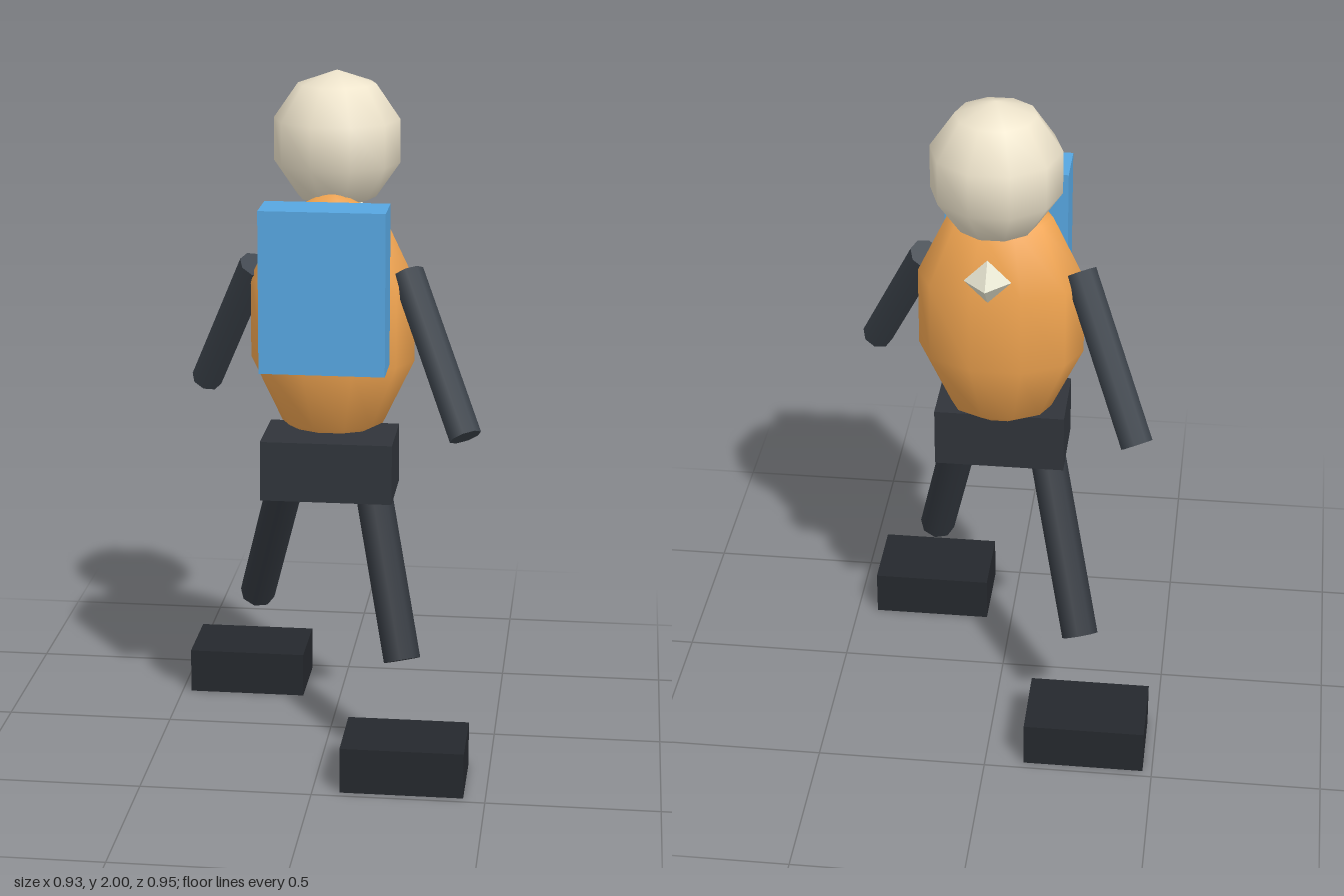
import * as THREE from 'three';

export function createModel() {
  const model = new THREE.Group();

  const add = (name, geometry, color, position, flatShading = false) => {
    const mesh = new THREE.Mesh(geometry, new THREE.MeshStandardMaterial({ color, flatShading }));
    mesh.name = name;
    mesh.position.set(...position);
    model.add(mesh);
    return mesh;
  };
  const box = (name, size, color, position) =>
    add(name, new THREE.BoxGeometry(...size), color, position);

  // Low-sided ball stretched to the given radii
  const ball = (name, radii, color, position) =>
    add(name, new THREE.SphereGeometry(1, 10, 5).scale(...radii), color, position);

  // Straight cylinder between two points
  const limb = (name, from, to, radius, color) => {
    const a = new THREE.Vector3(...from), b = new THREE.Vector3(...to);
    const mid = a.clone().add(b).multiplyScalar(0.5);
    const mesh = add(name, new THREE.CylinderGeometry(radius, radius, a.distanceTo(b), 8), color, mid.toArray());
    mesh.quaternion.setFromUnitVectors(new THREE.Vector3(0, 1, 0), a.sub(b).normalize());
  };

  // Head, torso and hips
  ball('head', [0.195, 0.205, 0.195], 0xeee4cc, [0.004, 1.795, -0.12]);
  ball('torso', [0.254, 0.385, 0.168], 0xf0a450, [0.004, 1.285, -0.008]);
  box('hips', [0.385, 0.178, 0.237], 0x30343a, [0.005, 0.868, 0.06]);

  // Pack on the chest and small gem behind the neck
  box('pack', [0.36, 0.47, 0.147], 0x57a6e0, [0.005, 1.425, 0.208]);
  add('gem', new THREE.OctahedronGeometry(0.066), 0xe6e4d0, [0.005, 1.555, -0.329], true);

  // Arms swing in opposite directions
  for (const s of [1, -1]) {
    const side = s > 0 ? 'left' : 'right';
    limb(side + 'Arm', [s * 0.227, 1.437, s * 0.03], [s * 0.415, 1.02, s * 0.272], 0.047, 0x3c434b);
  }

  // Striding legs
  limb('leftLeg', [0.135, 0.795, 0.085], [0.24, 0.335, 0.27], 0.054, 0x32373e);
  limb('rightLeg', [-0.132, 0.79, 0.018], [-0.262, 0.33, -0.266], 0.054, 0x32373e);

  // Block feet
  box('leftFoot', [0.357, 0.136, 0.237], 0x25282d, [0.258, 0.068, 0.358]);
  box('rightFoot', [0.357, 0.136, 0.237], 0x25282d, [-0.294, 0.068, -0.358]);

  return model;
}
